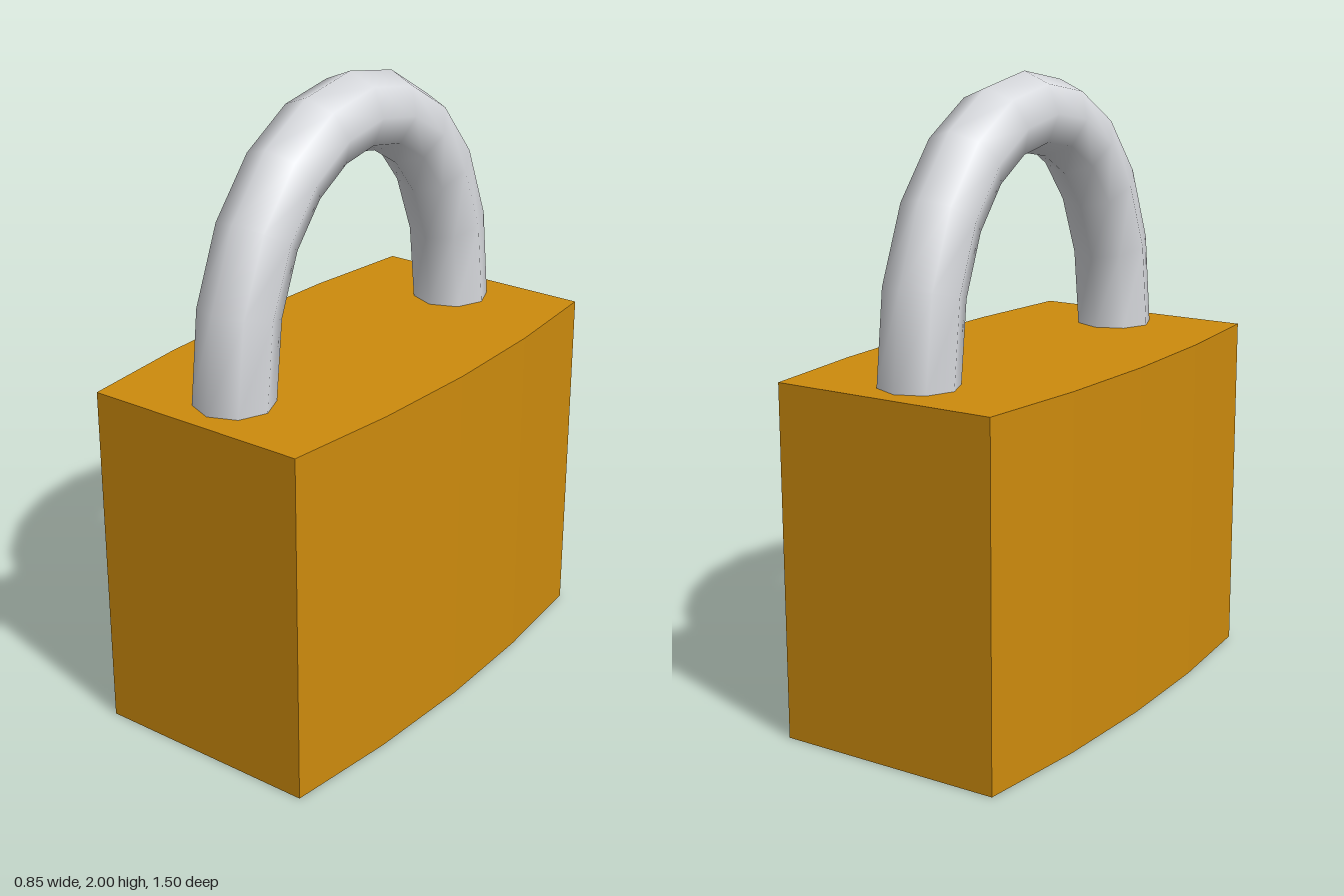
import * as THREE from 'three';

const brass = new THREE.MeshStandardMaterial({ name: 'brass', color: 0xcd8b0d });
const steel = new THREE.MeshStandardMaterial({ name: 'steel', color: 0xd8dade });

const BODY_HEIGHT = 1.125;

// Block with flat ends and gently bowed sides
function createBody() {
  const halfLength = 0.75, endHalfWidth = 0.375, bulge = 0.05, segments = 4;
  const side = [];
  for (let i = 0; i <= segments; i++) {
    const u = (i / segments) * 2 - 1;
    side.push(new THREE.Vector2(endHalfWidth + bulge * (1 - u * u), u * halfLength));
  }
  const opposite = side.map(p => new THREE.Vector2(-p.x, -p.y));
  const geometry = new THREE.ExtrudeGeometry(new THREE.Shape([...side, ...opposite]), {
    depth: BODY_HEIGHT, bevelEnabled: false,
  });
  geometry.rotateX(-Math.PI / 2);
  const body = new THREE.Mesh(geometry, brass);
  body.name = 'body';
  return body;
}

// Round bar arching from one end of the body to the other
function createShackle() {
  const reach = 0.5625, rise = 1;
  const curve = new THREE.CubicBezierCurve3(
    new THREE.Vector3(0, BODY_HEIGHT, reach),
    new THREE.Vector3(0, BODY_HEIGHT + rise, reach),
    new THREE.Vector3(0, BODY_HEIGHT + rise, -reach),
    new THREE.Vector3(0, BODY_HEIGHT, -reach),
  );
  // Rings are spaced evenly along the curve parameter
  curve.getPointAt = curve.getPoint;
  curve.getTangentAt = curve.getTangent;
  const shackle = new THREE.Mesh(new THREE.TubeGeometry(curve, 10, 0.125, 8), steel);
  shackle.name = 'shackle';
  return shackle;
}

export function createModel() {
  const model = new THREE.Group();
  model.name = 'padlock';
  model.add(createBody(), createShackle());
  return model;
}
